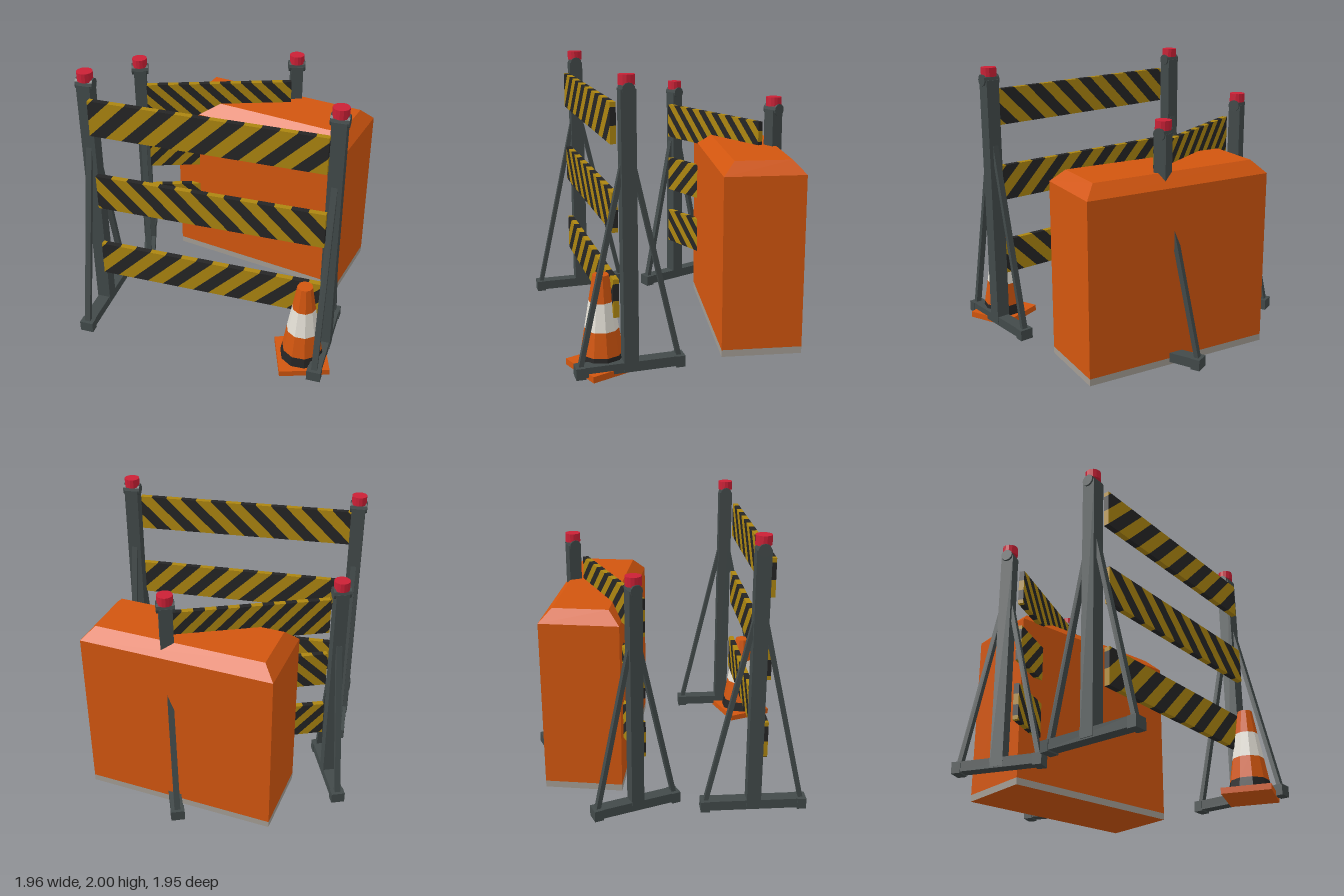
import * as THREE from 'three';
import { mergeGeometries } from 'three/addons/utils/BufferGeometryUtils.js';

const mat = (name, color) => {
  const m = new THREE.MeshStandardMaterial({ color, flatShading: true });
  m.name = name;
  return m;
};

export function createModel() {
  const orange = mat('orange', 0xd2560f);
  const yellow = mat('yellow', 0xac8510);
  const black = mat('black', 0x252525);
  const steel = mat('steel grey', 0x424a4a);
  const red = mat('lamp red', 0xcb2036);
  const white = mat('white', 0xe4e0d6);
  const concrete = mat('pale grey', 0xa39d94);

  const add = (parent, name, geo, material, x = 0, y = 0, z = 0) => {
    const m = new THREE.Mesh(geo, material);
    m.name = name;
    m.position.set(x, y, z);
    parent.add(m);
    return m;
  };
  const box = (w, h, d) => new THREE.BoxGeometry(w, h, d);

  // Keep the part of a convex polygon on one side of a vertical line
  const clip = (pts, limit, sign) => {
    const out = [];
    pts.forEach((p, i) => {
      const q = pts[(i + 1) % pts.length];
      const a = sign * (limit - p[0]), b = sign * (limit - q[0]);
      if (a >= 0) out.push(p);
      if (a * b < 0) {
        const t = a / (a - b);
        out.push([limit, p[1] + (q[1] - p[1]) * t]);
      }
    });
    return out;
  };

  // Board made of alternating slanted blocks; dir sets the lean
  const stripedBoard = (length, height, depth, period, dir) => {
    const g = new THREE.Group();
    g.name = 'stripedBoard';
    const parts = [[], []];
    const half = length / 2, w = period / 2, h = height / 2, s = dir * height / 2;
    const start = -half - height - period + 0.03;
    for (let i = 0, a = start; a < half + height; i++, a += w) {
      let pts = [[a - s + h, -h], [a + w - s + h, -h], [a + w + s + h, h], [a + s + h, h]];
      pts = clip(clip(pts, half, 1), -half, -1);
      if (pts.length < 3) continue;
      const shape = new THREE.Shape(pts.map(p => new THREE.Vector2(p[0], p[1])));
      const geo = new THREE.ExtrudeGeometry(shape, { depth, bevelEnabled: false });
      parts[i % 2].push(geo.translate(0, 0, -depth / 2));
    }
    add(g, 'darkStripes', mergeGeometries(parts[0]), black);
    add(g, 'yellowStripes', mergeGeometries(parts[1]), yellow);
    return g;
  };

  // Post with foot bar, two braces, top pin and warning lamp
  const postUnit = (height, width, footLength, braceTop) => {
    const g = new THREE.Group();
    g.name = 'postAssembly';
    add(g, 'post', box(width, height - 0.03, width), steel, 0, (height + 0.03) / 2, 0);
    add(g, 'footBar', box(0.09, 0.07, footLength - 0.04), steel, 0, 0.055, 0);
    for (const s of [-1, 1]) {
      add(g, 'footEnd', box(0.1, 0.08, 0.065), steel, 0, 0.05, s * (footLength / 2 - 0.0325));
      const dz = footLength / 2 - 0.035 - 0.035, dy = braceTop - 0.07;
      const brace = add(g, 'brace', box(0.042, Math.hypot(dz, dy), 0.032), steel,
        0, 0.07 + dy / 2, s * (0.035 + dz / 2));
      brace.rotation.x = -s * Math.atan2(dz, dy);
    }
    const pin = add(g, 'topPin', new THREE.CylinderGeometry(0.043, 0.043, 0.125, 12), steel, 0, height, 0);
    pin.rotation.z = Math.PI / 2;
    add(g, 'lamp', new THREE.CylinderGeometry(0.056, 0.056, 0.065, 14), red, 0, height + 0.0575, 0);
    return g;
  };

  const barricade = (name, o) => {
    const g = new THREE.Group();
    g.name = name;
    for (const s of [-1, 1]) {
      const p = postUnit(o.height, o.width, o.foot, o.braceTop);
      p.position.x = s * o.span;
      g.add(p);
    }
    o.boards.forEach(([x, y, tilt, dir]) => {
      const b = stripedBoard(o.length, 0.268, 0.04, o.period, dir);
      b.position.set(x, y, 0.08);
      b.rotation.z = tilt;
      g.add(b);
    });
    return g;
  };

  const model = new THREE.Group();
  model.name = 'roadworkBarriers';

  // Front barricade
  const front = barricade('frontBarricade', {
    span: 0.87, height: 1.91, width: 0.1, foot: 0.75, braceTop: 1.43, length: 1.65, period: 0.236,
    boards: [[0, 1.692, -0.005, 1], [0.012, 1.105, 0.004, -1], [0.008, 0.516, 0.003, 1]],
  });
  front.position.set(0, 0, 0.578);
  model.add(front);

  // Smaller barricade behind, turned
  const rear = barricade('rearBarricade', {
    span: 0.602, height: 1.645, width: 0.092, foot: 0.65, braceTop: 1.23, length: 1.11, period: 0.16,
    boards: [[0, 1.418, 0, -1], [0, 0.967, 0, 1], [0, 0.517, 0, -1]],
  });
  rear.position.set(-0.265, 0, -0.455);
  rear.rotation.y = 0.348;
  model.add(rear);

  // Large block with bevelled top and pale skirt
  const block = new THREE.Group();
  block.name = 'barrierBlock';
  block.position.set(0.18, 0, -0.495);
  block.rotation.y = -0.177;
  const L = 1.42, D = 0.57;
  add(block, 'blockSkirt', box(L, 0.05, D),
    [concrete, concrete, concrete, orange, concrete, concrete], 0, 0.025, 0);
  add(block, 'blockBody', box(L, 1.24, D), orange, 0, 0.67, 0);
  const top = box(L, 0.09, D);
  const pos = top.attributes.position;
  for (let i = 0; i < pos.count; i++) {
    if (pos.getY(i) > 0) {
      pos.setX(i, Math.sign(pos.getX(i)) * (L / 2 - 0.085));
      pos.setZ(i, Math.sign(pos.getZ(i)) * (D / 2 - 0.085));
    }
  }
  top.computeVertexNormals();
  add(block, 'blockTop', top, orange, 0, 1.335, 0);
  model.add(block);

  // Traffic cone in stacked colour bands
  const cone = new THREE.Group();
  cone.name = 'trafficCone';
  cone.position.set(0.738, 0, 0.74);
  cone.rotation.y = 0.345;
  add(cone, 'coneBase', box(0.36, 0.045, 0.36), orange, 0, 0.0225, 0);
  const radius = y => 0.158 - (y - 0.045) * 0.166;
  const levels = [0.045, 0.12, 0.29, 0.485, 0.667];
  const bands = [['coneFootBand', black], ['coneLower', orange], ['coneWhiteBand', white], ['coneTip', orange]];
  bands.forEach(([name, m], i) => {
    const a = levels[i], b = levels[i + 1];
    add(cone, name, new THREE.CylinderGeometry(radius(b), radius(a), b - a, 10), m, 0, (a + b) / 2, 0);
  });
  model.add(cone);

  return model;
}
